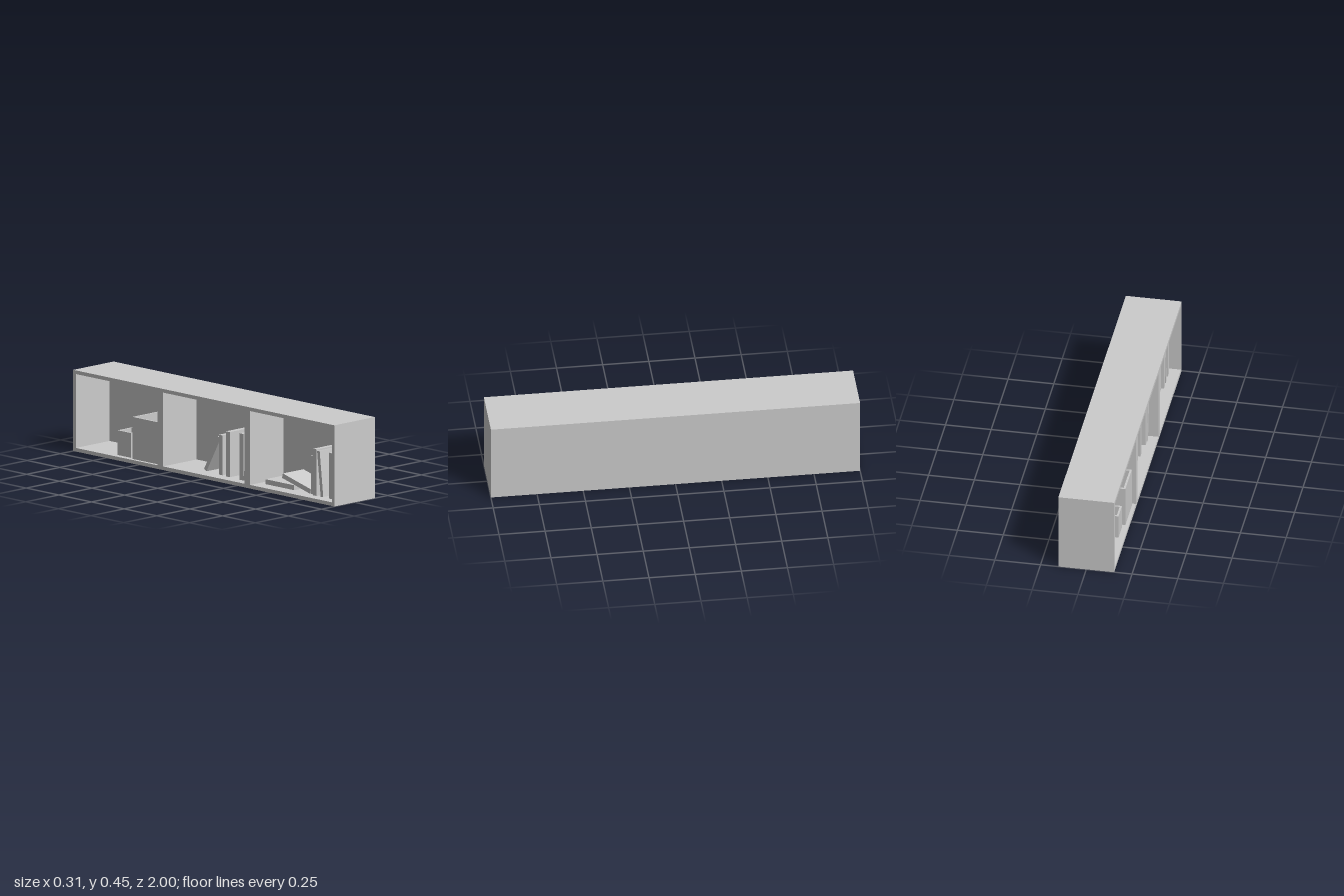
import * as THREE from 'three';

const H = 0.446, HALF_D = 0.1525, WALL = 0.02, BACK = 0.05;
const material = new THREE.MeshStandardMaterial({ color: 0xcccccc });

function rect(PathType, x0, y0, x1, y1) {
  const p = new PathType();
  p.moveTo(x0, y0);
  p.lineTo(x1, y0);
  p.lineTo(x1, y1);
  p.lineTo(x0, y1);
  p.closePath();
  return p;
}

function part(name, geometry, x = 0, y = 0, z = 0) {
  const mesh = new THREE.Mesh(geometry, material);
  mesh.name = name;
  mesh.position.set(x, y, z);
  return mesh;
}

// Board that stands on its lower long edge at z; a positive angle leans it towards +z.
// x is its front (spine) edge, measured from the open side of the shelf.
function book(name, { front, z, y = WALL, depth = 0.155, height, thick, lean = 0 }) {
  const geo = new THREE.BoxGeometry(depth, height, thick);
  geo.translate(depth / 2, height / 2, lean >= 0 ? -thick / 2 : thick / 2);
  const mesh = part(name, geo, front - HALF_D, y, z);
  mesh.rotation.x = lean;
  return mesh;
}

// Square open-topped planter
function planter(name, size, height, wall, x, z) {
  const group = new THREE.Group();
  group.name = name;
  const h = size / 2, i = h - wall;
  const outline = rect(THREE.Shape, -h, -h, h, h);
  outline.holes.push(rect(THREE.Path, -i, -i, i, i));
  const sides = new THREE.ExtrudeGeometry(outline, { depth: height, bevelEnabled: false });
  sides.rotateX(-Math.PI / 2);
  group.add(part(name + 'Sides', sides));
  group.add(part(name + 'Floor', new THREE.BoxGeometry(2 * i, wall, 2 * i), 0, wall / 2, 0));
  group.position.set(x, WALL, z);
  return group;
}

export function createModel() {
  const model = new THREE.Group();
  model.name = 'wallShelf';

  // Frame with three equal compartments, open towards -x
  const outline = rect(THREE.Shape, -1, 0, 1, H);
  const bay = 2 / 3;
  for (let i = 0; i < 3; i++) {
    const z0 = -1 + i * bay;
    outline.holes.push(rect(THREE.Path, z0 + WALL, WALL, z0 + bay - WALL, H - WALL));
  }
  const frame = new THREE.ExtrudeGeometry(outline, { depth: 2 * HALF_D - BACK, bevelEnabled: false });
  frame.rotateY(-Math.PI / 2);
  model.add(part('frame', frame, HALF_D - BACK));
  model.add(part('backPanel', new THREE.BoxGeometry(BACK, H, 2), HALF_D - BACK / 2, H / 2, 0));

  // Planters in the first compartment
  model.add(planter('smallPlanter', 0.104, 0.136, 0.011, 0.085 - HALF_D, -0.641));
  model.add(planter('largePlanter', 0.192, 0.231, 0.011, 0.115 - HALF_D, -0.47));

  // Books in the middle compartment
  const middle = [
    { front: 0.08, z: -0.06, height: 0.222, thick: 0.022, lean: 0.5 },
    { front: 0.068, z: 0.073, height: 0.219, thick: 0.027 },
    { front: 0.061, z: 0.137, height: 0.248, thick: 0.03 },
    { front: 0.053, z: 0.249, height: 0.256, thick: 0.029 },
    { front: 0.05, z: 0.276, height: 0.265, thick: 0.024, lean: 0.13 },
  ];
  middle.forEach((b, i) => model.add(book('middleBook' + (i + 1), b)));

  // Books in the last compartment
  const last = [
    { front: 0.071, z: 0.776, height: 0.21, thick: 0.027 },
    { front: 0.056, z: 0.808, height: 0.256, thick: 0.028 },
    { front: 0.056, z: 0.838, height: 0.25, thick: 0.02, lean: -0.11 },
    { front: 0.057, z: 0.928, height: 0.252, thick: 0.029 },
  ];
  last.forEach((b, i) => model.add(book('lastBook' + (i + 1), b)));

  // One book lying flat, another resting on its edge
  model.add(book('flatBook', { front: 0.074, z: 0.617, height: 0.027, thick: 0.22 }));
  model.add(book('restingBook', { front: 0.07, z: 0.743, height: 0.026, thick: 0.222, lean: 0.25 }));

  return model;
}
